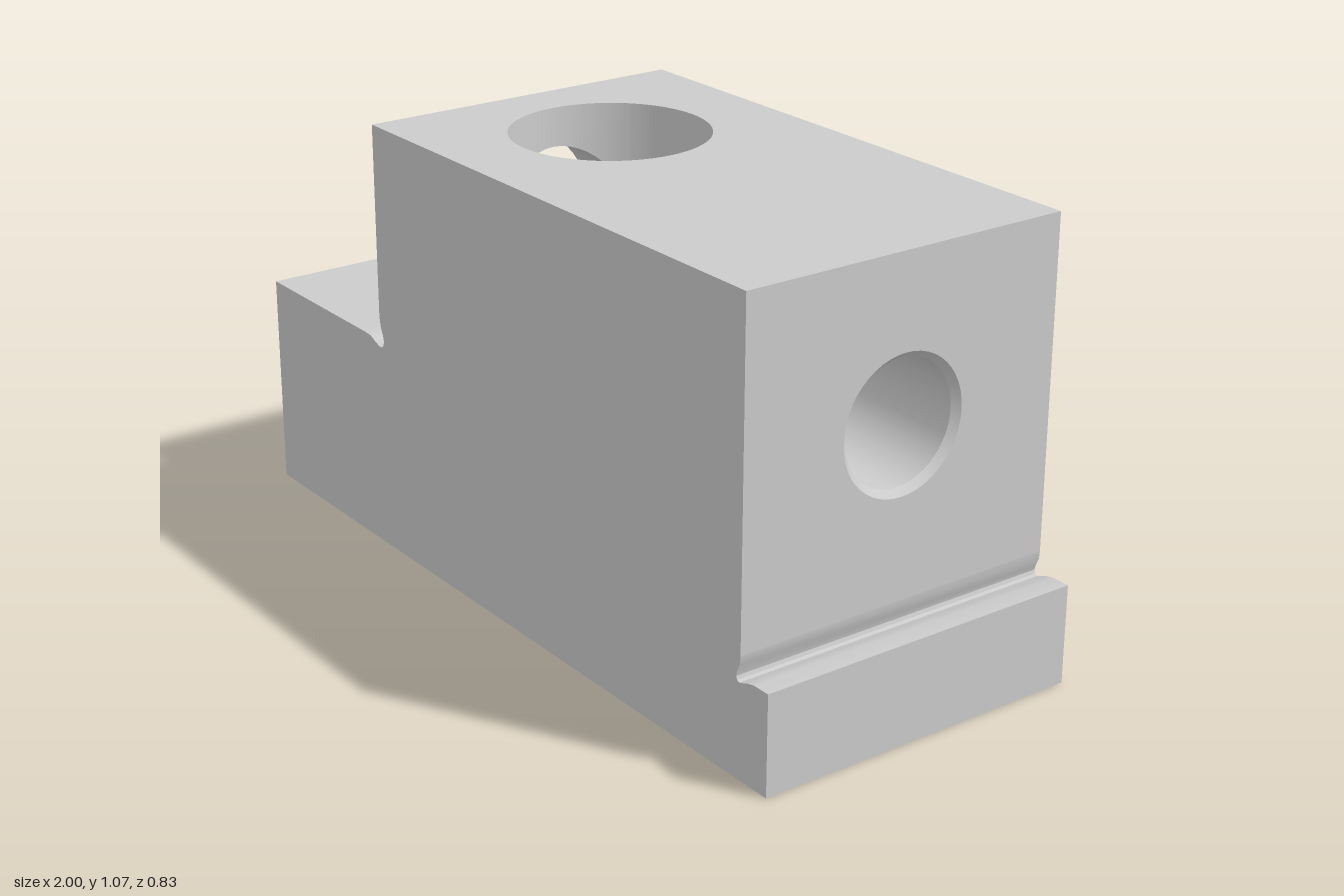
import * as THREE from 'three';
import { mergeGeometries, toCreasedNormals } from 'three/addons/utils/BufferGeometryUtils.js';

// Main sizes
const D = 0.415, TOP = 1.065, STEP = 0.533, WALL_L = -0.485, WALL_R = 0.91;
const BORE = 0.235, PORT = 0.17, CHAMFER = 0.016, N = 48;
const bores = [
  { x: -0.12, face: WALL_L, portY: 0.8, end: 0.13 },
  { x: -0.63, face: -1, portY: 0.267, end: -0.38 },
];

// Side profile, walked clockwise: relief grooves at the foot of both walls
const leftFoot = [[-0.55, STEP], [-0.53, 0.531], [-0.51, 0.523], [-0.492, 0.516], [-0.48, 0.516], [-0.472, 0.522], [-0.468, STEP]];
const leftRise = [[-0.468, STEP], [-0.47, 0.545], [-0.477, 0.56], [-0.483, 0.58], [WALL_L, 0.6]];
const rightFoot = [[WALL_R, 0.285], [0.908, 0.265], [0.899, 0.245], [0.897, 0.235], [0.9, 0.227], [0.907, 0.224],
  [0.92, 0.228], [0.935, 0.234], [0.955, 0.238], [1, 0.238]];
const outline = [[-1, 0], [-1, STEP], ...leftFoot, ...leftRise.slice(1), [WALL_L, TOP], [WALL_R, TOP], ...rightFoot, [1, 0]];

const ring = Array.from({ length: N + 1 }, (_, i) => (i / N) * Math.PI * 2);

// Angles round a vertical bore, matched to the points of the port crossing it
const boreAngles = (() => {
  const side = [], out = [];
  for (let i = -12; i <= 12; i++) side.push(Math.asin((PORT / BORE) * Math.sin((i * Math.PI) / 24)));
  const m = side[24], gap = Math.PI - 2 * m;
  out.push(...side);
  for (let j = 1; j < 12; j++) out.push(m + (gap * j) / 12);
  out.push(...side.map((a) => Math.PI + a));
  for (let j = 1; j <= 12; j++) out.push(Math.PI + m + (gap * j) / 12);
  return out;
})();

// Ruled surface between two rows of points
function strip(a, b) {
  const pos = [], idx = [];
  a.forEach((p, i) => {
    pos.push(...p, ...b[i]);
    if (i) idx.push(2 * i - 2, 2 * i, 2 * i + 1, 2 * i - 2, 2 * i + 1, 2 * i - 1);
  });
  const g = new THREE.BufferGeometry();
  g.setAttribute('position', new THREE.Float32BufferAttribute(pos, 3));
  g.setIndex(idx);
  return g;
}

// Flat face: place(u, v) puts the shape in space; holes are lists of points
function face(points, place, holes = []) {
  const shape = new THREE.Shape(points.map((p) => new THREE.Vector2(...p)));
  shape.holes = holes.map((h) => new THREE.Path(h.map((p) => new THREE.Vector2(...p))));
  const g = new THREE.ShapeGeometry(shape), p = g.attributes.position;
  for (let i = 0; i < p.count; i++) p.setXYZ(i, ...place(p.getX(i), p.getY(i)));
  g.deleteAttribute('uv');
  g.deleteAttribute('normal');
  return g;
}

const rect = (u0, u1, v0, v1) => [[u0, v0], [u1, v0], [u1, v1], [u0, v1]];
const circle = (u, v, r, angles = ring) => angles.slice(0, -1).map((a) => [u + r * Math.cos(a), v + r * Math.sin(a)]);
const across = (pts) => strip(pts.map(([x, y]) => [x, y, D]), pts.map(([x, y]) => [x, y, -D]));
const facingLeft = (x) => (u, v) => [x, v, u];
const facingRight = (x) => (u, v) => [x, v, -u];

// Circle of points round the x axis; x may depend on z
const xRing = (x, y, r) => ring.map((a) => {
  const z = r * Math.sin(a);
  return [typeof x === 'function' ? x(z) : x, y + r * Math.cos(a), z];
});

// Height of the step surface over x
function stepHeight(x) {
  for (let i = 1; i < leftFoot.length; i++) {
    const [x0, y0] = leftFoot[i - 1], [x1, y1] = leftFoot[i];
    if (x >= x0 && x <= x1) return y0 + ((y1 - y0) * (x - x0)) / (x1 - x0);
  }
  return STEP;
}

export function createModel() {
  const group = new THREE.Group();
  const material = new THREE.MeshStandardMaterial({ color: 0xcccccc, side: THREE.DoubleSide });
  const add = (name, parts) => {
    const geometry = toCreasedNormals(mergeGeometries(parts.map((g) => g.toNonIndexed())), 0.5);
    const mesh = new THREE.Mesh(geometry, material);
    mesh.name = name;
    group.add(mesh);
  };

  // Outer faces of the block
  add('sideFaces', [
    face(outline, (u, v) => [u, v, D]),
    face(outline.map(([x, y]) => [-x, y]), (u, v) => [-u, v, -D]),
  ]);
  add('bottomFace', [face(rect(-1, 1, -D, D), (u, v) => [u, 0, v],
    bores.map((b) => circle(b.x, 0, BORE + CHAMFER, boreAngles)))]);
  add('topFace', [face(rect(WALL_L, WALL_R, -D, D), (u, v) => [u, TOP, -v],
    [circle(bores[0].x, 0, BORE, boreAngles)])]);
  add('lowerEndFace', [face(rect(-D, D, 0, STEP), facingLeft(-1), [circle(0, bores[1].portY, PORT + CHAMFER)])]);
  add('upperEndFace', [face(rect(-D, D, 0.6, TOP), facingLeft(WALL_L), [circle(0, bores[0].portY, PORT + CHAMFER)])]);
  add('rightFace', [face(rect(-D, D, 0.285, TOP), facingRight(WALL_R), [circle(0, 0.685, 0.16)])]);
  add('rightLedge', [across([...rightFoot, [1, 0]])]);

  // Step surface and its groove, opened by the lower bore
  const cx = bores[1].x;
  const halfWidth = (x) => Math.sqrt(Math.max(0, BORE ** 2 - (x - cx) ** 2));
  const xs = [-1];
  for (let i = 0; i <= 24; i++) xs.push(cx - BORE * Math.cos((i * Math.PI) / 24));
  leftFoot.forEach(([x]) => xs.push(x));
  const lip = leftFoot[leftFoot.length - 1][0];
  const stepXs = xs.filter((x) => x <= lip).sort((p, q) => p - q);
  const row = (z) => stepXs.map((x) => [x, stepHeight(x), z(x)]);
  add('step', [
    strip(row(() => D), row(halfWidth)),
    strip(row((x) => -halfWidth(x)), row(() => -D)),
    across(leftRise),
  ]);

  // Ceiling of the lower bore where it runs under the tall part
  const roofXs = Array.from({ length: 13 }, (_, i) => cx + BORE - (cx + BORE - lip) * (1 - i / 12) ** 2);
  add('lowerBoreRoof', [strip(
    roofXs.map((x) => [x, STEP, -halfWidth(x)]),
    roofXs.map((x) => [x, STEP, halfWidth(x)]),
  )]);

  // Vertical bores with chamfered mouths, each crossed by a blind port
  bores.forEach((b, n) => {
    const around = (r, y) => boreAngles.map((a) => {
      const x = b.x + r * Math.cos(a), z = r * Math.sin(a);
      return [x, y(x, z), z];
    });
    const window = (z) => Math.sqrt(Math.max(0, PORT ** 2 - z * z));
    const wall = (z) => Math.sqrt(BORE ** 2 - z * z);
    const rim = n === 0 ? () => TOP : (x) => stepHeight(x);
    const label = n === 0 ? 'upper' : 'lower';
    add(label + 'Bore', [
      strip(around(BORE + CHAMFER, () => 0), around(BORE, () => CHAMFER)),
      strip(around(BORE, () => CHAMFER), around(BORE, (x, z) => b.portY - window(z))),
      strip(around(BORE, (x, z) => b.portY + window(z)), around(BORE, rim)),
    ]);
    const mouth = xRing(b.face + CHAMFER, b.portY, PORT);
    add(label + 'Port', [
      strip(mouth, xRing(b.face, b.portY, PORT + CHAMFER)),
      strip(xRing((z) => b.x - wall(z), b.portY, PORT), mouth),
      strip(xRing(b.end, b.portY, PORT), xRing((z) => b.x + wall(z), b.portY, PORT)),
      face(circle(0, b.portY, PORT), facingLeft(b.end)),
    ]);
  });

  // Blind hole in the right face
  const inner = xRing(WALL_R - CHAMFER, 0.685, 0.144);
  add('rightHole', [
    strip(xRing(WALL_R, 0.685, 0.16), inner),
    strip(inner, xRing(0.4, 0.685, 0.144)),
    face(circle(0, 0.685, 0.144), facingRight(0.4)),
  ]);

  return group;
}
